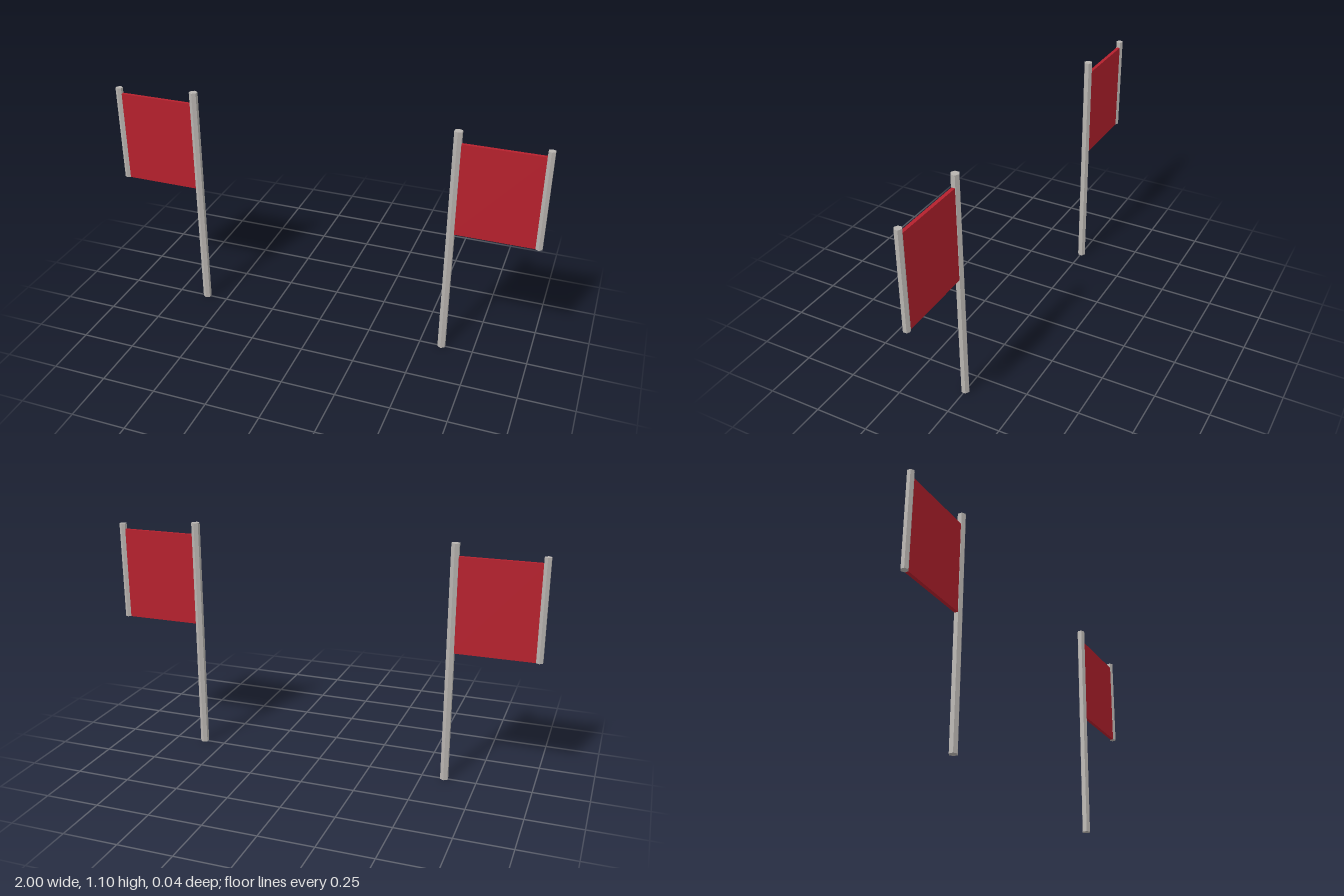
import * as THREE from 'three';

export function createModel() {
  const model = new THREE.Group();
  model.name = 'flagPair';

  const metal = new THREE.MeshStandardMaterial({ color: 0xb8b4b0 });
  metal.name = 'pale grey metal';
  const cloth = new THREE.MeshStandardMaterial({ color: 0xb5202d });
  cloth.name = 'red cloth';
  metal.flatShading = true;

  const add = (parent, name, geometry, material, x, y) => {
    const mesh = new THREE.Mesh(geometry, material);
    mesh.name = name;
    mesh.position.set(x, y, 0);
    parent.add(mesh);
  };

  // Hexagonal rod spanning two heights
  const rod = (parent, name, x, radius, bottom, top) =>
    add(parent, name, new THREE.CylinderGeometry(radius, radius, top - bottom, 6), metal, x, (bottom + top) / 2);

  for (const side of [1, -1]) {
    const flag = new THREE.Group();
    flag.name = side > 0 ? 'leftFlag' : 'rightFlag';

    // Tall pole on the inner edge, short rod on the outer edge
    rod(flag, 'pole', side * 0.604, 0.0195, 0, 1.096);
    rod(flag, 'outerRod', side * 0.9855, 0.0167, 0.61, 1.067);

    // Banner stretched between them
    add(flag, 'banner', new THREE.BoxGeometry(0.381, 0.43, 0.016), cloth, side * 0.795, 0.825);

    model.add(flag);
  }
  return model;
}
